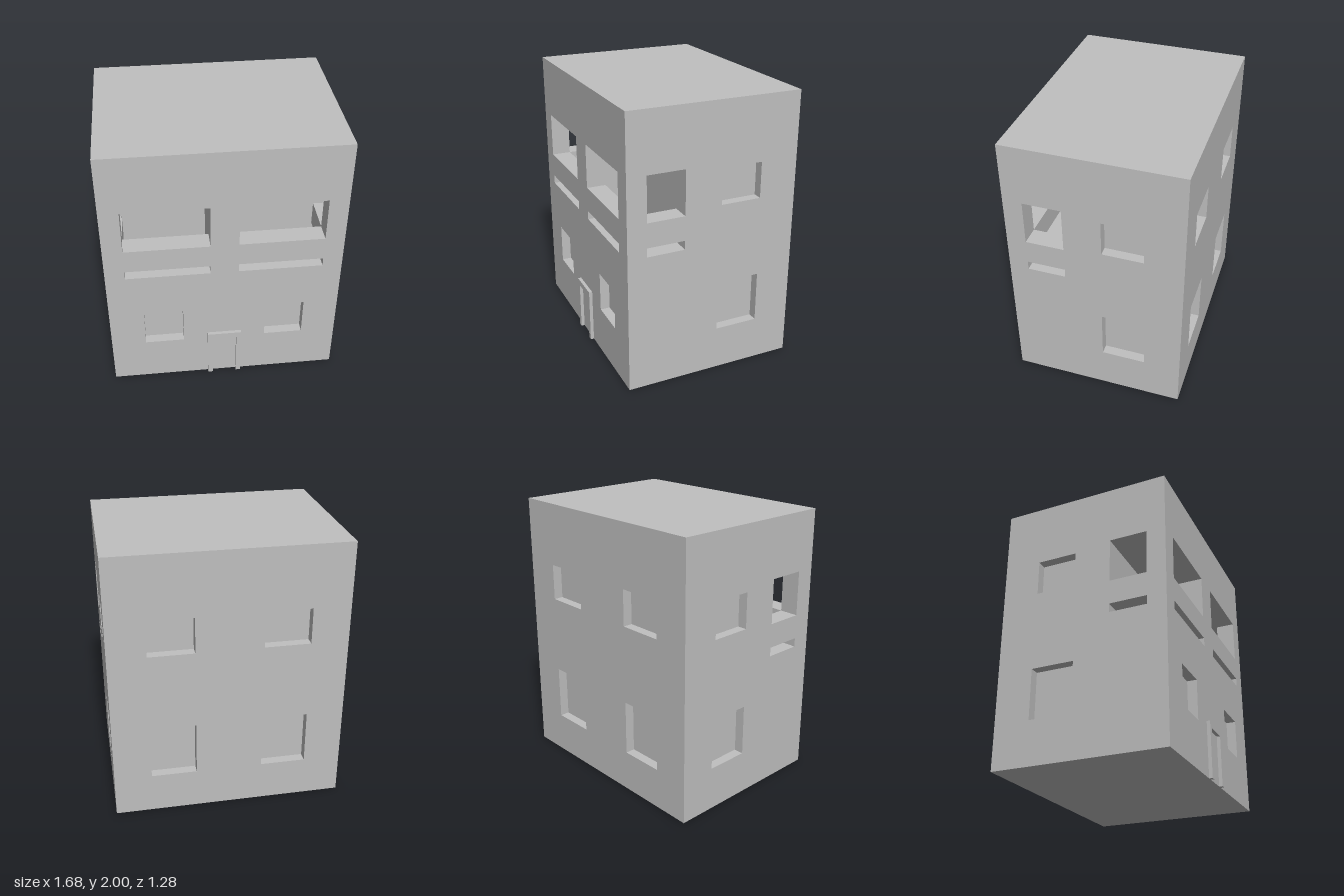
import * as THREE from 'three';

const X = 0.84, FRONT = 0.615, BACK = -0.64, H = 2, T = 0.07;

// wall shape from u0 to u1 with rectangular holes [u0, u1, y0, y1], thickness T
function wallGeometry(u0, u1, holes) {
  const rect = (C, [a, b, c, d]) => {
    const [l, r] = [Math.min(a, b), Math.max(a, b)];
    const s = new C();
    s.moveTo(l, c); s.lineTo(r, c); s.lineTo(r, d); s.lineTo(l, d); s.closePath();
    return s;
  };
  const shape = rect(THREE.Shape, [u0, u1, 0, H]);
  shape.holes = holes.map((h) => rect(THREE.Path, h));
  return new THREE.ExtrudeGeometry(shape, { depth: T, bevelEnabled: false });
}

const mirrored = (holes) => holes.flatMap(([a, b, c, d]) => [[a, b, c, d], [-b, -a, c, d]]);

export function createModel() {
  const model = new THREE.Group();
  model.name = 'house';
  const plaster = new THREE.MeshStandardMaterial({ color: 0xbfbfbf });
  plaster.name = 'grey plaster';

  const add = (name, geometry, x = 0, y = 0, z = 0, ry = 0) => {
    const mesh = new THREE.Mesh(geometry, plaster);
    mesh.name = name;
    mesh.position.set(x, y, z);
    mesh.rotation.y = ry;
    model.add(mesh);
  };
  const block = (name, x0, x1, y0, y1, z0, z1) =>
    add(name, new THREE.BoxGeometry(x1 - x0, y1 - y0, z1 - z0),
      (x0 + x1) / 2, (y0 + y1) / 2, (z0 + z1) / 2);

  // balcony openings with a narrow slot under each parapet
  const LEVELS = [[1.0, 1.065], [1.243, 1.57]];
  const inner = FRONT - 2 * T, balconyBack = 0.2;
  const frontBalcony = mirrored(LEVELS.map((l) => [0.1, 0.7, ...l]));
  const sideBalcony = LEVELS.map((l) => [balconyBack, inner, ...l]);

  // front wall: window recesses in the outer layer, balconies through both layers
  const frontWindows = mirrored([[0.303, 0.588, 0.355, 0.65]]);
  add('frontWall', wallGeometry(-X, X, [...frontWindows, ...frontBalcony]), 0, 0, FRONT - T);
  add('frontInnerWall', wallGeometry(-X, X, frontBalcony), 0, 0, inner);

  // back wall
  const backWindows = mirrored([[0.24, 0.57, 1.275, 1.54], [0.24, 0.57, 0.3, 0.7]]);
  add('backWall', wallGeometry(-X, X, backWindows), 0, 0, BACK + T, Math.PI);

  // side walls
  const sideWindows = [[-0.365, -0.07, 1.275, 1.535], [-0.375, -0.06, 0.32, 0.69]];
  for (const s of [1, -1]) {
    const side = s > 0 ? 'left' : 'right';
    const flip = (holes) => holes.map(([a, b, c, d]) => [-s * a, -s * b, c, d]);
    add(side + 'Wall', wallGeometry(-s * BACK, -s * FRONT, flip([...sideWindows, ...sideBalcony])),
      s * (X - T), 0, 0, s * Math.PI / 2);
    add(side + 'InnerWall', wallGeometry(-s * BACK, -s * FRONT, flip(sideBalcony)),
      s * (X - 2 * T), 0, 0, s * Math.PI / 2);
  }

  // solid core around the two balconies
  const cx = X - 2 * T, cz = BACK + T;
  block('lowerStorey', -cx, cx, 0, 1.0, cz, inner);
  block('balconyBackWall', -cx, cx, 1.0, 1.57, cz, balconyBack);
  block('balconyDivider', -0.1, 0.1, 1.0, 1.57, balconyBack, inner);
  block('roofStorey', -cx, cx, 1.57, H, cz, inner);

  // door surround
  const frame = new THREE.Shape([
    [-0.125, 0], [-0.09, 0], [-0.09, 0.365], [0.09, 0.365],
    [0.09, 0], [0.125, 0], [0.125, 0.41], [-0.125, 0.41],
  ].map(([x, y]) => new THREE.Vector2(x, y)));
  add('doorFrame', new THREE.ExtrudeGeometry(frame, { depth: 0.025, bevelEnabled: false }), 0, 0, FRONT);

  return model;
}
